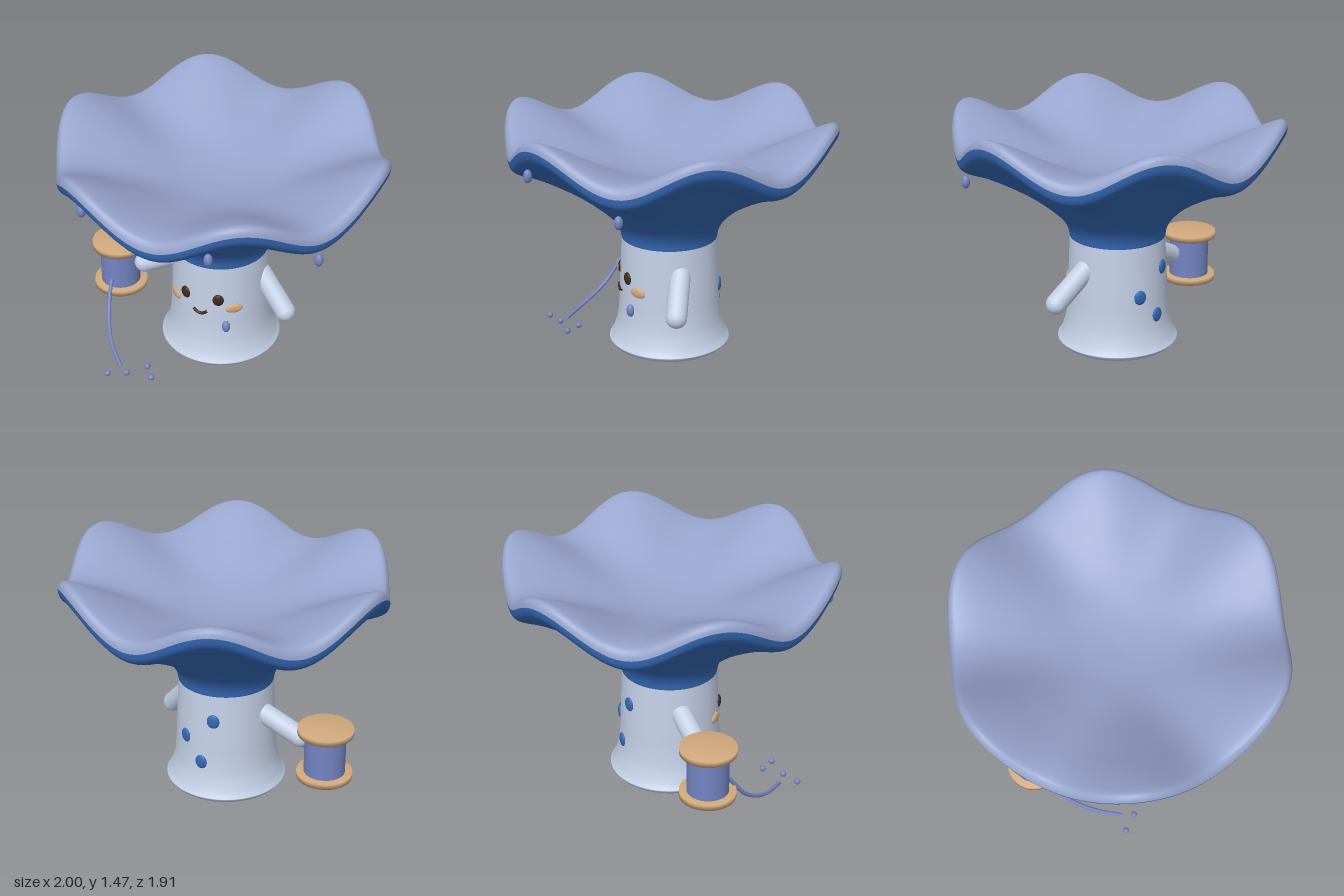
import * as THREE from 'three';
import { mergeVertices } from 'three/addons/utils/BufferGeometryUtils.js';

const mat = (name, color) => {
  const m = new THREE.MeshStandardMaterial({ color });
  m.name = name;
  return m;
};
const V2 = (p) => new THREE.Vector2(p[0], p[1]);
const V3 = (p) => new THREE.Vector3(...p);
const spline = (pts, n) => new THREE.SplineCurve(pts.map(V2)).getPoints(n);

// Wavy trumpet cap: a lathe whose six waves grow toward the rim.
function capGeometry() {
  const outer = spline([[0.291, 0.7], [0.306, 0.765], [0.36, 0.845], [0.5, 0.972], [0.64, 1.075],
    [0.8, 1.178], [0.92, 1.24], [0.967, 1.285], [0.979, 1.335]], 40);
  const inner = spline([[0.979, 1.335], [0.965, 1.37], [0.925, 1.386], [0.8, 1.352],
    [0.6, 1.27], [0.4, 1.19], [0.2, 1.135], [0, 1.115]], 40);
  const profile = [...outer, ...inner.slice(1)];
  profile[profile.length - 1].x = 0;
  let g = new THREE.LatheGeometry(profile, 144);
  const p = g.attributes.position;
  for (let i = 0; i < p.count; i++) {
    const x = p.getX(i), z = p.getZ(i);
    const t = THREE.MathUtils.clamp((Math.hypot(x, z) - 0.29) / 0.68, 0, 1);
    const w = Math.cos(6 * Math.atan2(z, x));
    const s = 1 + 0.022 * w * t;
    p.setXYZ(i, x * s, p.getY(i) + 0.093 * w * t ** 1.5, z * s);
  }
  g.deleteAttribute('uv');
  g.deleteAttribute('normal');
  g = mergeVertices(g, 1e-5);
  g.computeVertexNormals();
  // Sort faces into outside and inside groups, keeping the shared normals.
  const sides = [[], []];
  const idx = g.index.array, rows = profile.length - 1;
  for (let t = 0; t < idx.length / 3; t++) {
    const row = Math.floor(t / 2) % rows;
    sides[row < outer.length - 1 ? 0 : 1].push(idx[3 * t], idx[3 * t + 1], idx[3 * t + 2]);
  }
  g.setIndex([...sides[0], ...sides[1]]);
  g.addGroup(0, sides[0].length, 0);
  g.addGroup(sides[0].length, sides[1].length, 1);
  return g;
}

export function createModel() {
  const root = new THREE.Group();
  root.name = 'mushroomFigure';
  const stemMat = mat('paleStem', 0xc6d2e9);
  const capMat = mat('deepBlue', 0x3468b5);
  const innerMat = mat('lavender', 0x97a4cc);
  const threadMat = mat('threadBlue', 0x7384c2);
  const woodMat = mat('wood', 0xd0a87c);
  const darkMat = mat('darkBrown', 0x3d2a1e);

  const add = (name, geo, material, pos = [0, 0, 0]) => {
    const m = new THREE.Mesh(geo, material);
    m.name = name;
    m.position.set(...pos);
    root.add(m);
    return m;
  };
  const ball = new THREE.SphereGeometry(1, 24, 16);
  const blob = (name, material, pos, scale) => {
    const m = add(name, ball, material, pos);
    m.scale.set(...scale);
    return m;
  };
  // Flattened oval lying on the stem, facing outward.
  const oval = (name, material, x, y, r, rx, ry, depth, side = 1) => {
    const z = side * Math.sqrt(r * r - x * x);
    blob(name, material, [x, y, z], [rx, ry, depth]).rotation.y = Math.atan2(x, z);
  };
  // Solid disc or drum with softly shaded edges.
  const drum = (r, h) => new THREE.LatheGeometry(
    [[0, -h / 2], [r, -h / 2], [r, h / 2], [0, h / 2]].map(V2), 48);

  // Cap
  add('cap', capGeometry(), [capMat, innerMat]);

  // Stem with flared foot and closed, softly shaded base
  const stem = spline([[0.374, 0.036], [0.352, 0.072], [0.331, 0.13], [0.318, 0.19], [0.309, 0.28],
    [0.304, 0.4], [0.297, 0.55], [0.29, 0.703]], 36);
  add('stem', new THREE.LatheGeometry([V2([0, 0.011]), V2([0.352, 0.011]), ...stem], 64), stemMat);

  // Arms
  const arm = (name, a, b) => {
    const from = V3(a), dir = V3(b).sub(from);
    const m = add(name, new THREE.CapsuleGeometry(0.063, dir.length(), 10, 24), stemMat);
    m.position.copy(from).addScaledVector(dir, 0.5);
    m.quaternion.setFromUnitVectors(new THREE.Vector3(0, 1, 0), dir.normalize());
  };
  arm('leftArm', [0.27, 0.537, -0.005], [0.453, 0.35, 0.06]);
  arm('rightArm', [-0.27, 0.532, -0.005], [-0.512, 0.417, 0.04]);

  // Face
  for (const s of [-1, 1]) {
    oval('eye', darkMat, s * 0.107, 0.477, 0.301, 0.034, 0.04, 0.016);
    oval('cheek', woodMat, s * 0.193, 0.413, 0.305, 0.054, 0.031, 0.014);
  }
  const smile = new THREE.CatmullRomCurve3([[-0.045, 0.392, 0.302], [-0.025, 0.375, 0.306],
    [0, 0.369, 0.308], [0.025, 0.375, 0.306], [0.045, 0.392, 0.302]].map(V3));
  add('mouth', new THREE.TubeGeometry(smile, 20, 0.01, 8), darkMat);

  // Spots on the back of the stem
  for (const [x, y, r] of [[-0.1, 0.535, 0.299], [0.095, 0.388, 0.305], [-0.03, 0.25, 0.312]])
    oval('backSpot', capMat, x, y, r, 0.039, 0.045, 0.015, -1);

  // Dew drops
  for (const p of [[-0.476, 1.288, 0.81], [0.32, 1.24, 0.88], [0.787, 1.098, 0.456], [0.156, 0.288, 0.275]])
    blob('dewDrop', threadMat, p, [0.025, 0.039, 0.025]);

  // Spool
  const sx = -0.688, sz = 0.037;
  add('spoolThread', new THREE.CylinderGeometry(0.124, 0.124, 0.28, 40, 1, true), threadMat, [sx, 0.372, sz]);
  for (const y of [0.229, 0.521])
    add('spoolFlange', drum(0.168, 0.035), woodMat, [sx, y, sz]);

  // Loose thread and beads on the ground
  const strand = new THREE.CatmullRomCurve3([[-0.688, 0.305, 0.163], [-0.675, 0.22, 0.222],
    [-0.653, 0.15, 0.28], [-0.605, 0.085, 0.37], [-0.53, 0.042, 0.47], [-0.41, 0.012, 0.59]].map(V3));
  add('looseThread', new THREE.TubeGeometry(strand, 48, 0.012, 10), threadMat);
  for (const [x, z] of [[-0.45, 0.69], [-0.347, 0.636], [-0.257, 0.533], [-0.19, 0.615]])
    blob('bead', threadMat, [x, 0.029, z], [0.019, 0.019, 0.019]);

  return root;
}
